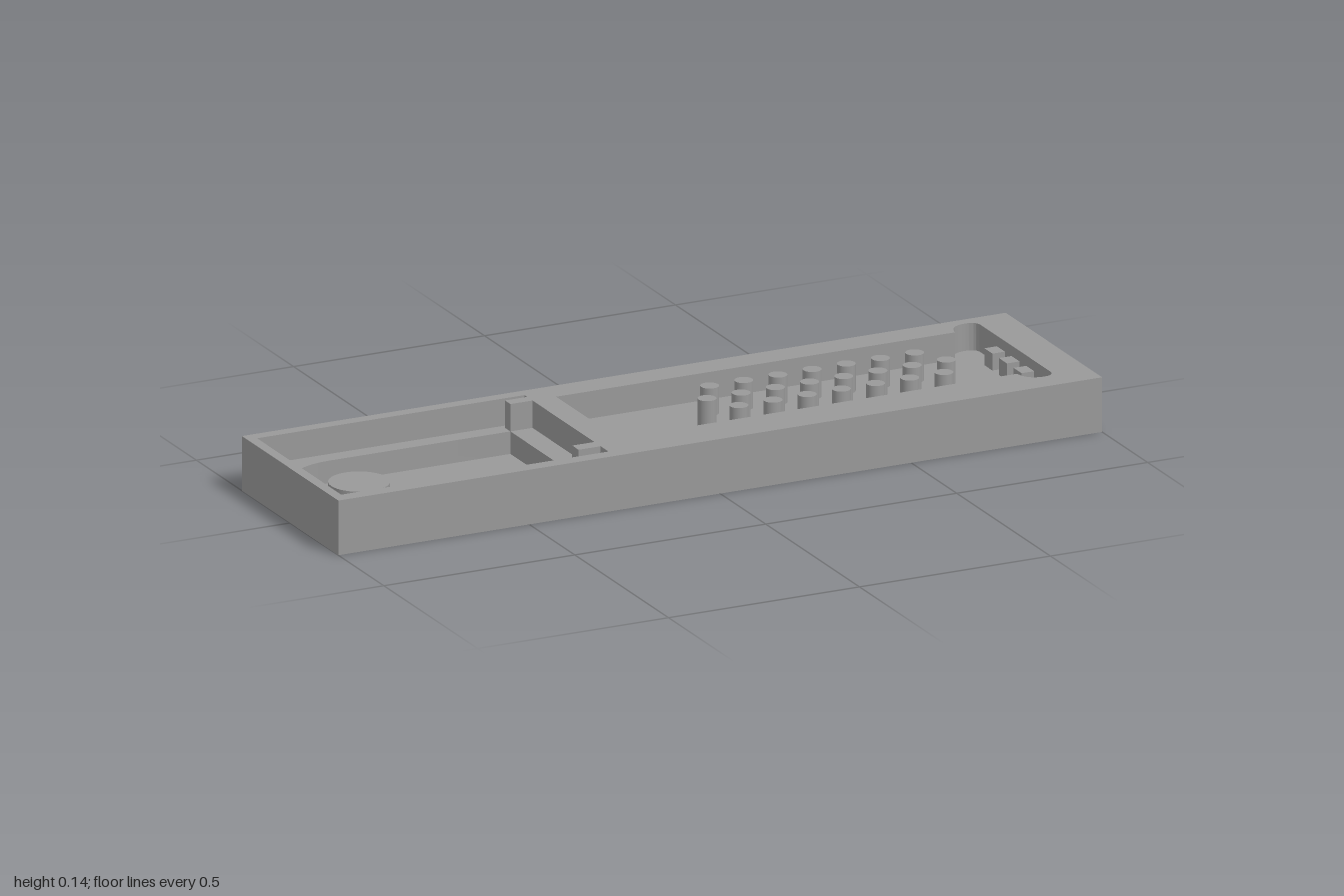
import * as THREE from 'three';
import { toCreasedNormals } from 'three/addons/utils/BufferGeometryUtils.js';

const FLOOR = 0.012, LEDGE = 0.068, TOP = 0.136; // heights of the stepped floors
const MID = 0.019;                               // pocket centre line, drawn as v = -z
const V0 = MID - 0.165, V1 = MID + 0.165;        // pocket side walls

export function createModel() {
  const group = new THREE.Group();
  const grey = new THREE.MeshStandardMaterial({ color: 0x999999 });
  grey.name = 'grey';

  function add(name, geometry, x = 0, y = 0, z = 0) {
    const mesh = new THREE.Mesh(geometry, grey);
    mesh.name = name;
    mesh.position.set(x, y, z);
    group.add(mesh);
  }

  // Horizontal slab of the tray with pockets cut through it
  function slab(name, y0, y1, holes = []) {
    const shape = new THREE.Shape();
    shape.moveTo(-1, -0.257).lineTo(1, -0.257).lineTo(1, 0.257).lineTo(-1, 0.257).closePath();
    shape.holes.push(...holes);
    const geo = new THREE.ExtrudeGeometry(shape, { depth: y1 - y0, bevelEnabled: false, curveSegments: 24 });
    geo.rotateX(-Math.PI / 2);
    add(name, toCreasedNormals(geo, 0.5), 0, y0, 0);
  }

  // Deep pocket with a round end
  const deep = new THREE.Path();
  deep.moveTo(-0.333, V0).lineTo(-0.333, V1).lineTo(-0.81, V1);
  deep.absarc(-0.81, MID, 0.165, Math.PI / 2, Math.PI * 1.5, false);
  deep.closePath();

  // Shallow recess around it, with two tabs left standing at the slot
  const recess = new THREE.Path([
    [-0.975, -0.222], [-0.275, -0.222], [-0.275, -0.18], [-0.333, -0.18],
    [-0.333, V0], [-0.275, V0], [-0.275, V1], [-0.333, V1],
    [-0.333, 0.213], [-0.275, 0.213], [-0.275, 0.227], [-0.975, 0.227],
  ].map(([x, v]) => new THREE.Vector2(x, v)));
  recess.closePath();

  // Pin pocket with rounded ears at its far end
  const pinPocket = new THREE.Path();
  pinPocket.moveTo(-0.213, V0).lineTo(0.832, V0);
  pinPocket.quadraticCurveTo(0.836, -0.19, 0.88, -0.192);
  pinPocket.quadraticCurveTo(0.909, -0.192, 0.909, -0.165);
  pinPocket.lineTo(0.909, 0.203);
  pinPocket.quadraticCurveTo(0.909, 0.23, 0.88, 0.23);
  pinPocket.quadraticCurveTo(0.836, 0.228, 0.832, V1);
  pinPocket.lineTo(-0.213, V1).closePath();

  slab('trayBottom', 0, FLOOR);
  slab('trayMiddle', FLOOR, LEDGE, [deep]);
  slab('trayTop', LEDGE, TOP, [recess, pinPocket]);

  // Round boss in the deep pocket
  const bossHeight = LEDGE - FLOOR;
  add('boss', new THREE.CylinderGeometry(0.073, 0.073, bossHeight, 40), -0.81, FLOOR + bossHeight / 2, -MID);

  // Three staggered rows of pins
  const pinHeight = TOP - LEDGE;
  const pinGeo = new THREE.CylinderGeometry(0.0225, 0.0225, pinHeight, 20);
  for (const [row, count, start] of [[-1, 7, 0.146], [0, 8, 0.101], [1, 7, 0.146]]) {
    for (let i = 0; i < count; i++) {
      add('pin', pinGeo, start + i * 0.0895, LEDGE + pinHeight / 2, -MID + row * 0.078);
    }
  }

  // Small blocks against the end wall
  const blockGeo = new THREE.BoxGeometry(0.034, 0.042, 0.043);
  for (const row of [-1, 0, 1]) add('endBlock', blockGeo, 0.893, LEDGE + 0.021, -MID + row * 0.078);

  return group;
}
